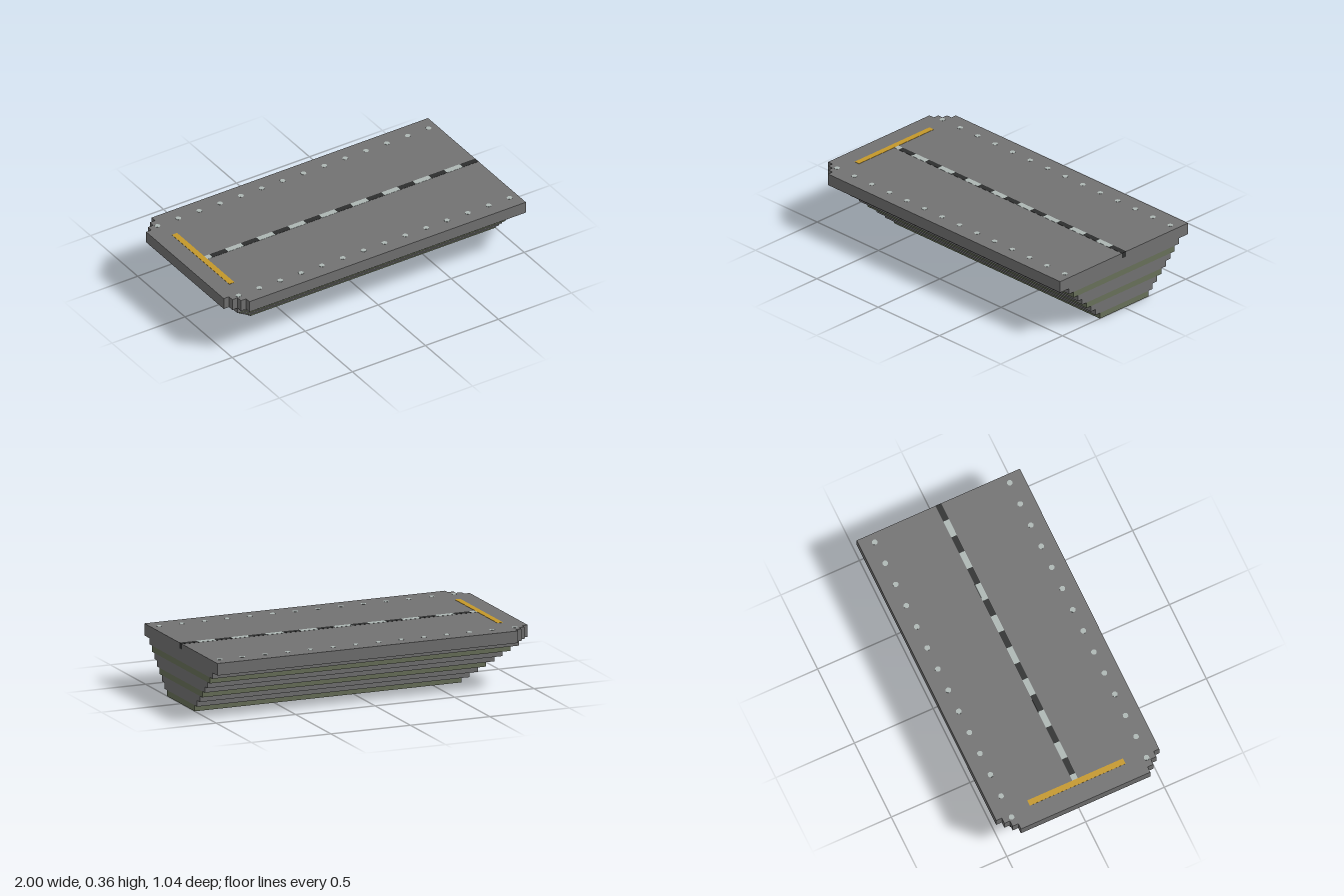
import * as THREE from 'three';

const U = 1 / 28; // one brick unit
const TOP = 10 * U;

const mat = (name, color) => {
  const m = new THREE.MeshStandardMaterial({ color });
  m.name = name;
  return m;
};

export function createModel() {
  const grey = mat('grey', 0x727272);
  const green = mat('olive green', 0x69715a);
  const amber = mat('amber', 0xc4982a);
  const pale = mat('pale grey', 0xadb7b4);
  const dark = mat('near black', 0x2d2e2e);

  const model = new THREE.Group();
  model.name = 'steppedPlatform';
  const add = (name, geometry, material, x, y, z, parent = model) => {
    const mesh = new THREE.Mesh(geometry, material);
    mesh.name = name;
    mesh.position.set(x, y, z);
    parent.add(mesh);
    return mesh;
  };
  const group = (name) => {
    const g = new THREE.Group();
    g.name = name;
    model.add(g);
    return g;
  };

  // Hull: eight layers widening upwards, every third one green
  const hull = group('hull');
  for (let i = 0; i < 8; i++) {
    const length = (47 + i) * U;
    add('hullLayer' + i, new THREE.BoxGeometry(length, U, (11 + 2 * i) * U),
      i % 3 === 0 ? green : grey, 1 - length / 2, (i + 0.5) * U, 0, hull);
  }

  // Deck: slab with stair-stepped corners at the left end
  const half = [
    [28, 14.5], [-25, 14.5], [-25, 13.5], [-26, 13.5],
    [-26, 12.5], [-27, 12.5], [-27, 11.5], [-28, 11.5],
  ];
  const outline = [...half, ...half.map(([x, y]) => [x, -y]).reverse()];
  const shape = new THREE.Shape(outline.map(([x, y]) => new THREE.Vector2(x * U, y * U)));
  const deck = new THREE.ExtrudeGeometry(shape, { depth: 2 * U, bevelEnabled: false });
  deck.rotateX(-Math.PI / 2);
  add('deck', deck, grey, 0, 8 * U, 0);

  // Amber stop line across the deck
  add('stopLine', new THREE.BoxGeometry(U, 0.003, 17 * U), amber, -24.5 * U, TOP, 0);

  // Centre line of alternating dark and pale dashes
  const line = group('centreLine');
  add('shortDash', new THREE.BoxGeometry(U, 0.002, U), pale, -23.5 * U, TOP, 0, line);
  for (let i = 0; i < 17; i++) {
    add('dash' + i, new THREE.BoxGeometry(3 * U, 0.002, U), i % 2 ? pale : dark,
      (-21.5 + 3 * i) * U, TOP, 0, line);
  }
  add('lineEnd', new THREE.BoxGeometry(0.002, 0.9 * U, 0.9 * U), dark, 1 - 0.0005, TOP - 0.45 * U, 0, line);

  // Rows of edge lights
  const lights = group('edgeLights');
  const dot = new THREE.CylinderGeometry(0.017, 0.017, 0.002, 8);
  for (const z of [-12, 12]) {
    for (let i = 0; i < 14; i++) {
      add('edgeLight', dot, pale, (-25.5 + 4 * i) * U, TOP, z * U, lights);
    }
  }
  return model;
}
